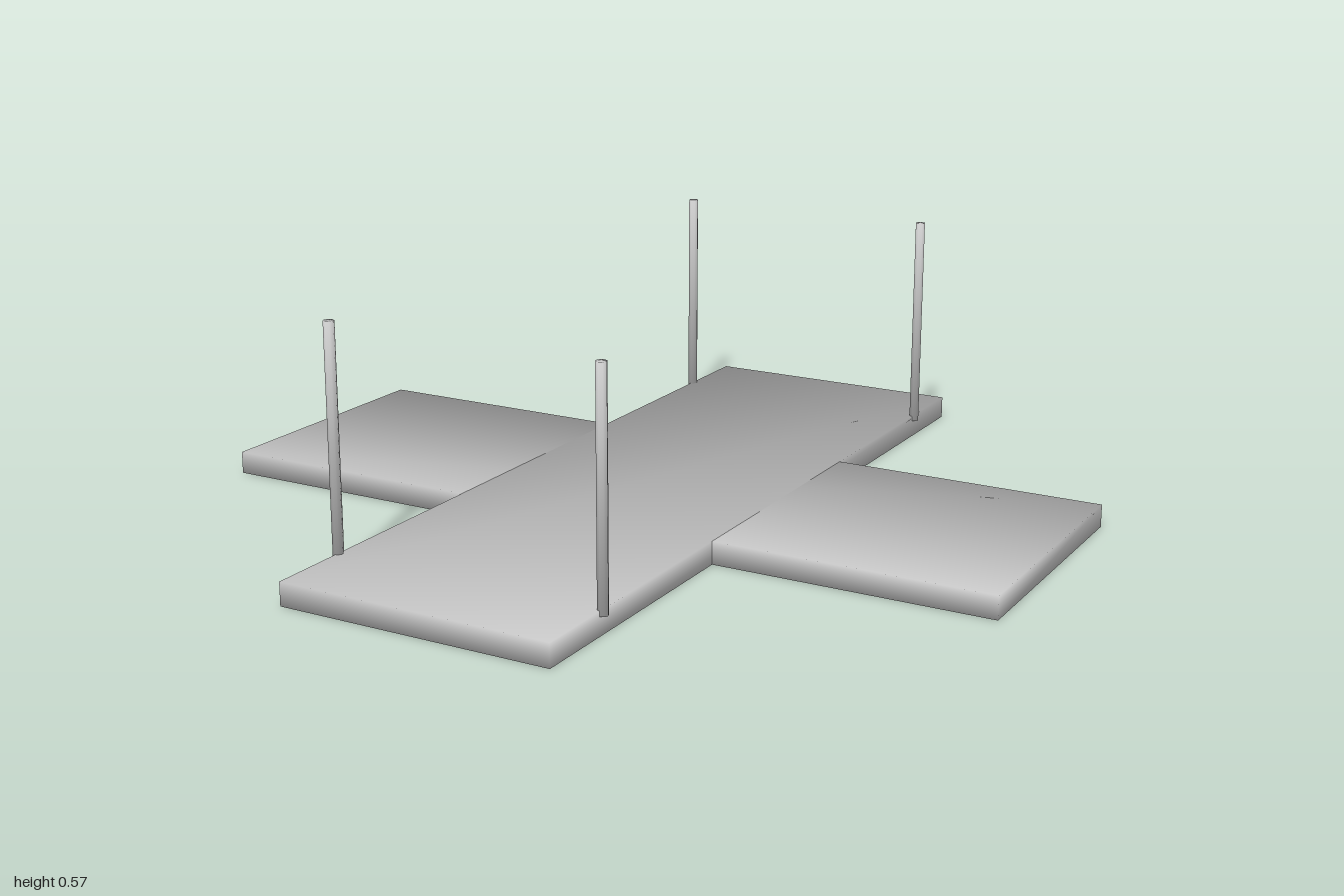
import * as THREE from 'three';

const material = new THREE.MeshStandardMaterial({ color: 0xcccccc });

// Soft shading: every corner normal leans outward and up or down
function softenNormals(geometry, direction) {
  const p = geometry.attributes.position;
  const n = new THREE.Vector3();
  for (let i = 0; i < p.count; i++) {
    direction(n.fromBufferAttribute(p, i)).normalize();
    geometry.attributes.normal.setXYZ(i, n.x, n.y, n.z);
  }
  return geometry;
}

function board(name, width, height, depth) {
  const geometry = softenNormals(new THREE.BoxGeometry(width, height, depth),
    (v) => v.set(Math.sign(v.x), Math.sign(v.y), Math.sign(v.z)));
  const mesh = new THREE.Mesh(geometry, material);
  mesh.name = name;
  mesh.position.y = 0.0275;
  return mesh;
}

export function createModel() {
  const group = new THREE.Group();
  group.name = 'crossedPlatform';

  // Two crossed boards; the cross board is a hair thinner so the faces do not flicker
  group.add(board('longBoard', 0.667, 0.055, 2));
  group.add(board('crossBoard', 2, 0.0544, 0.667));

  // Four slim posts standing on the edges of the long board
  const bottom = 0.043, top = 0.573, radius = 0.0125;
  const postGeometry = softenNormals(
    new THREE.CylinderGeometry(radius, radius, top - bottom, 8),
    (v) => v.set(v.x / radius, Math.sign(v.y) * 0.6, v.z / radius));
  for (const [side, x] of [['Left', 0.334], ['Right', -0.334]]) {
    for (const [end, z] of [['front', 0.8], ['back', -0.8]]) {
      const post = new THREE.Mesh(postGeometry, material);
      post.name = `${end}${side}Post`;
      post.position.set(x, (bottom + top) / 2, z);
      group.add(post);
    }
  }
  return group;
}
